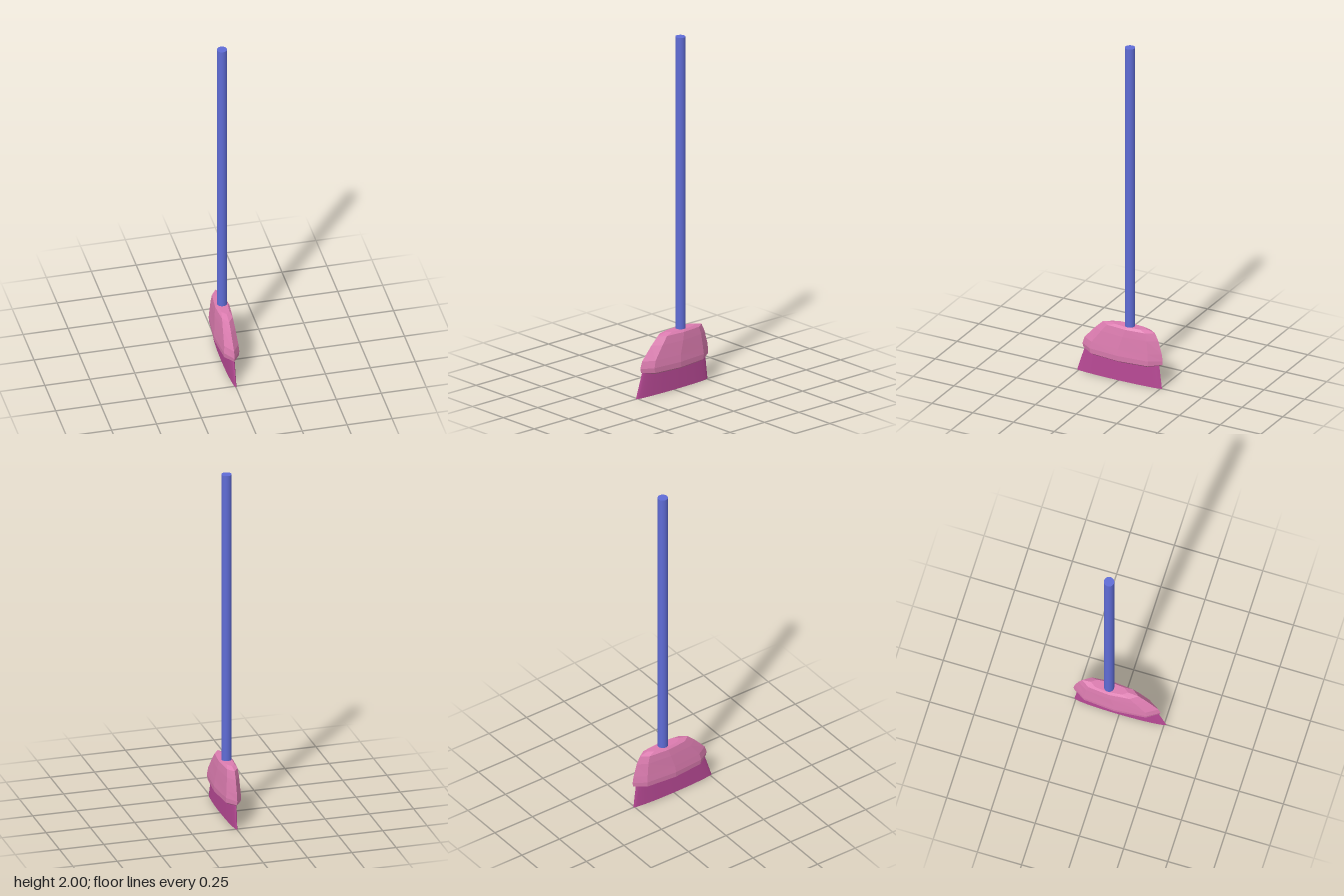
import * as THREE from 'three';
import { toCreasedNormals } from 'three/addons/utils/BufferGeometryUtils.js';

// Skin a stack of closed rings (bottom to top, running clockwise seen from above) and cap both ends
function loft(rings) {
  const n = rings[0].length, pos = rings.flat(2), index = [];
  rings.slice(1).forEach((_, r) => {
    for (let i = 0; i < n; i++) {
      const j = (i + 1) % n;
      const a = r * n + i, b = r * n + j, c = b + n, d = a + n;
      index.push(a, d, c, a, c, b);
    }
  });
  const top = (rings.length - 1) * n;
  for (let i = 1; i < n - 1; i++) {
    index.push(0, i, i + 1, top, top + i + 1, top + i);
  }
  const g = new THREE.BufferGeometry();
  g.setAttribute('position', new THREE.Float32BufferAttribute(pos, 3));
  g.setIndex(index);
  return g;
}

// Eight-sided pointed outline between zBack and zFront; the middle may sit lower than the tips
function headRing([zBack, zFront, w, yTip, yMid = yTip]) {
  const plan = [[0, 0], [0.74, 0.14], [1, 0.505], [0.74, 0.866], [0, 1],
    [-0.74, 0.866], [-1, 0.505], [-0.74, 0.14]];
  return plan.map(([x, t]) => [
    x * w, yTip + (yMid - yTip) * Math.abs(x), zBack + (zFront - zBack) * t]);
}

// Narrow elliptical outline for the bristles
function bristleRing(zBack, zFront, w, y, n = 32) {
  return Array.from({ length: n }, (_, i) => {
    const a = (i / n) * Math.PI * 2;
    return [w * Math.sin(a), y, (zBack + zFront) / 2 - (zFront - zBack) / 2 * Math.cos(a)];
  });
}

export function createModel() {
  const blue = new THREE.MeshStandardMaterial({ name: 'handle blue', color: 0x5f6cd6 });
  const pink = new THREE.MeshStandardMaterial({ name: 'head pink', color: 0xdc7cb0 });
  const magenta = new THREE.MeshStandardMaterial({ name: 'bristle magenta', color: 0xb94a96 });
  const group = new THREE.Group();
  group.name = 'broom';
  const add = (name, geometry, material) => {
    const mesh = new THREE.Mesh(geometry, material);
    mesh.name = name;
    group.add(mesh);
    return mesh;
  };

  // Long round handle
  add('handle', new THREE.CylinderGeometry(0.028, 0.028, 1.68, 32), blue).position.set(0, 1.16, -0.062);

  // Faceted head: back z, front z, half width, tip height, middle height
  const head = loft([
    [-0.245, 0.205, 0.036, 0.135, 0.121],
    [-0.260, 0.224, 0.055, 0.143, 0.134],
    [-0.263, 0.230, 0.057, 0.165],
    [-0.257, 0.217, 0.053, 0.205],
    [-0.236, 0.150, 0.046, 0.280],
    [-0.215, 0.105, 0.040, 0.323],
    [-0.165, 0.045, 0.029, 0.335],
  ].map(headRing)).toNonIndexed();
  head.computeVertexNormals();
  add('head', head, pink);

  // Bristles, flaring to the front
  const bristles = loft([
    bristleRing(-0.258, 0.262, 0.018, 0),
    bristleRing(-0.240, 0.214, 0.018, 0.15),
  ]);
  add('bristles', toCreasedNormals(bristles, 0.7), magenta);

  return group;
}
